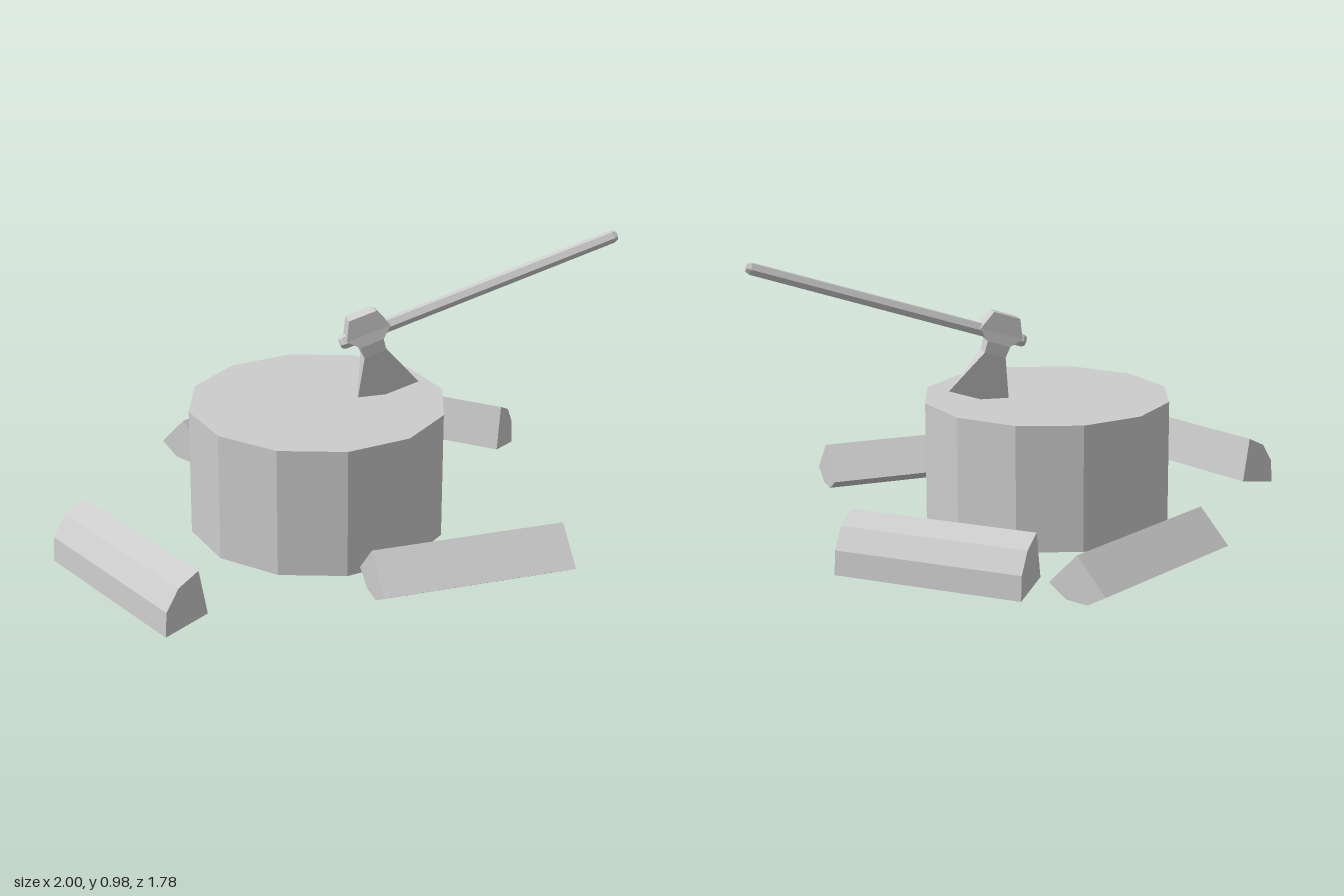
import * as THREE from 'three';

const material = new THREE.MeshStandardMaterial({ color: 0xcccccc, flatShading: true });
const openMaterial = new THREE.MeshStandardMaterial({ color: 0xcccccc, flatShading: true, side: THREE.DoubleSide });

function addMesh(parent, name, geometry, mat = material) {
  const mesh = new THREE.Mesh(geometry, mat);
  mesh.name = name;
  parent.add(mesh);
  return mesh;
}

// Quarter log: a 90 degree wedge with three bark facets, extruded along z
function quarterLog(apexX, apexY, startDegrees) {
  const radius = 0.164, length = 0.67;
  const points = [new THREE.Vector2(apexX, apexY)];
  for (let i = 0; i < 4; i++) {
    const a = THREE.MathUtils.degToRad(startDegrees + i * 30);
    points.push(new THREE.Vector2(apexX - radius * Math.sin(a), apexY + radius * Math.cos(a)));
  }
  const geometry = new THREE.ExtrudeGeometry(new THREE.Shape(points), { depth: length, bevelEnabled: false });
  return geometry.translate(0, 0, -length / 2);
}

// Axe head: rectangular sections stacked from the poll down to the cutting edge
function axeHeadGeometry() {
  const sections = [ // height, half width, half thickness
    [0.068, 0.05, 0.027], [0, 0.08, 0.029], [-0.037, 0.043, 0.033],
    [-0.08, 0.04, 0.029], [-0.25, 0.116, 0.001],
  ];
  const positions = [], index = [];
  for (const [y, w, t] of sections) positions.push(w, y, t, -w, y, t, -w, y, -t, w, y, -t);
  for (let i = 0; i < sections.length - 1; i++) {
    for (let j = 0; j < 4; j++) {
      const a = i * 4 + j, b = i * 4 + (j + 1) % 4;
      index.push(a, b, b + 4, a, b + 4, a + 4);
    }
  }
  const e = (sections.length - 1) * 4;
  index.push(0, 2, 1, 0, 3, 2, e, e + 1, e + 2, e, e + 2, e + 3);
  const geometry = new THREE.BufferGeometry();
  geometry.setAttribute('position', new THREE.Float32BufferAttribute(positions, 3));
  geometry.setIndex(index);
  geometry.computeVertexNormals();
  return geometry;
}

export function createModel() {
  const model = new THREE.Group();
  model.name = 'choppingBlockScene';

  // Twelve-sided stump, open underneath
  const stumpProfile = [[0.447, 0], [0.447, 0.45], [0, 0.45]].map(p => new THREE.Vector2(...p));
  const stump = addMesh(model, 'stump', new THREE.LatheGeometry(stumpProfile, 12), openMaterial);
  stump.position.set(-0.063, 0, 0.153);

  // Split logs around the stump: two lie bark down, two on a cut face
  const barkDown = quarterLog(0, 0.17, 135);
  const barkUp = quarterLog(0.0785, 0.04, 11);
  const logs = [
    ['frontLog', barkDown, 0.311, 0.734, 1.656],
    ['backLog', barkDown, -0.1625, -0.61, 2.159],
    ['rightLog', barkUp, -0.784, 0.55, 0.44],
    ['leftLog', barkUp, 0.4925, -0.459, -2.247],
  ];
  for (const [name, geometry, x, z, turn] of logs) {
    const log = addMesh(model, name, geometry);
    log.position.set(x, 0, z);
    log.rotation.y = turn;
  }

  // Axe stuck in the stump, handle rising to the model's left
  const axe = new THREE.Group();
  axe.name = 'axe';
  axe.position.set(0.11, 0.69, 0.153);
  axe.rotation.z = 0.312;
  model.add(axe);

  addMesh(axe, 'axeHead', axeHeadGeometry());

  // Six-sided handle with chamfered ends, poking out behind the head
  const handleProfile = [[0, 0], [0.018, 0], [0.025, 0.012], [0.023, 1.015], [0.016, 1.03], [0, 1.03]]
    .map(p => new THREE.Vector2(...p));
  const handle = addMesh(axe, 'axeHandle', new THREE.LatheGeometry(handleProfile, 6));
  handle.rotation.z = -Math.PI / 2;
  handle.position.set(-0.1, -0.007, 0);

  return model;
}
